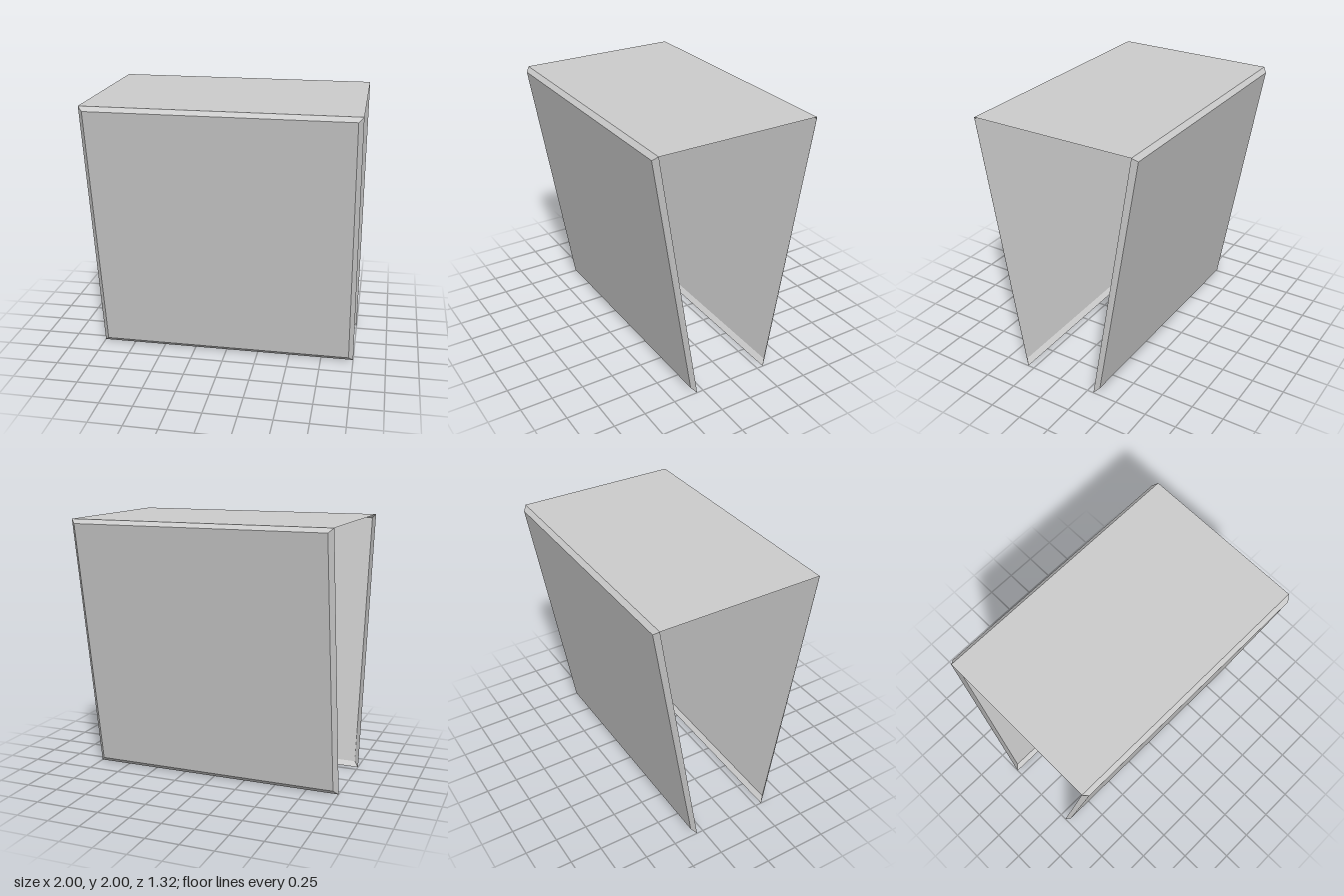
import * as THREE from 'three';

const material = new THREE.MeshStandardMaterial({
  color: 0xcccccc, flatShading: true, side: THREE.DoubleSide,
});

// Corner loop of a leaning rectangle, counter-clockwise seen from +z
const loop = (halfWidth, y0, z0, y1, z1) => [
  [-halfWidth, y0, z0], [halfWidth, y0, z0], [halfWidth, y1, z1], [-halfWidth, y1, z1],
];

// Shallow tray: outer face plus four chamfered rims, open on the inside
function panelGeometry() {
  const rim = loop(1, 0, 0.303, 2, 0.631);
  const face = loop(0.965, 0.034, 0.338, 1.968, 0.662);
  const points = [];
  const quad = (a, b, c, d) => points.push(...a, ...b, ...c, ...a, ...c, ...d);
  quad(...face);
  for (let i = 0; i < 4; i++) {
    const j = (i + 1) % 4;
    quad(rim[i], rim[j], face[j], face[i]);
  }
  const geometry = new THREE.BufferGeometry();
  geometry.setAttribute('position', new THREE.Float32BufferAttribute(points, 3));
  geometry.computeVertexNormals();
  return geometry;
}

export function createModel() {
  const model = new THREE.Group();
  model.name = 'leaningPanels';

  // Two panels leaning outwards towards the top
  const geometry = panelGeometry();
  ['frontPanel', 'backPanel'].forEach((name, i) => {
    const panel = new THREE.Mesh(geometry, material);
    panel.name = name;
    panel.rotation.y = i * Math.PI;
    model.add(panel);
  });

  // Thin sheet joining the top edges
  const top = new THREE.Mesh(new THREE.PlaneGeometry(2, 1.262), material);
  top.name = 'topSheet';
  top.rotation.x = -Math.PI / 2;
  top.position.y = 2;
  model.add(top);

  return model;
}
